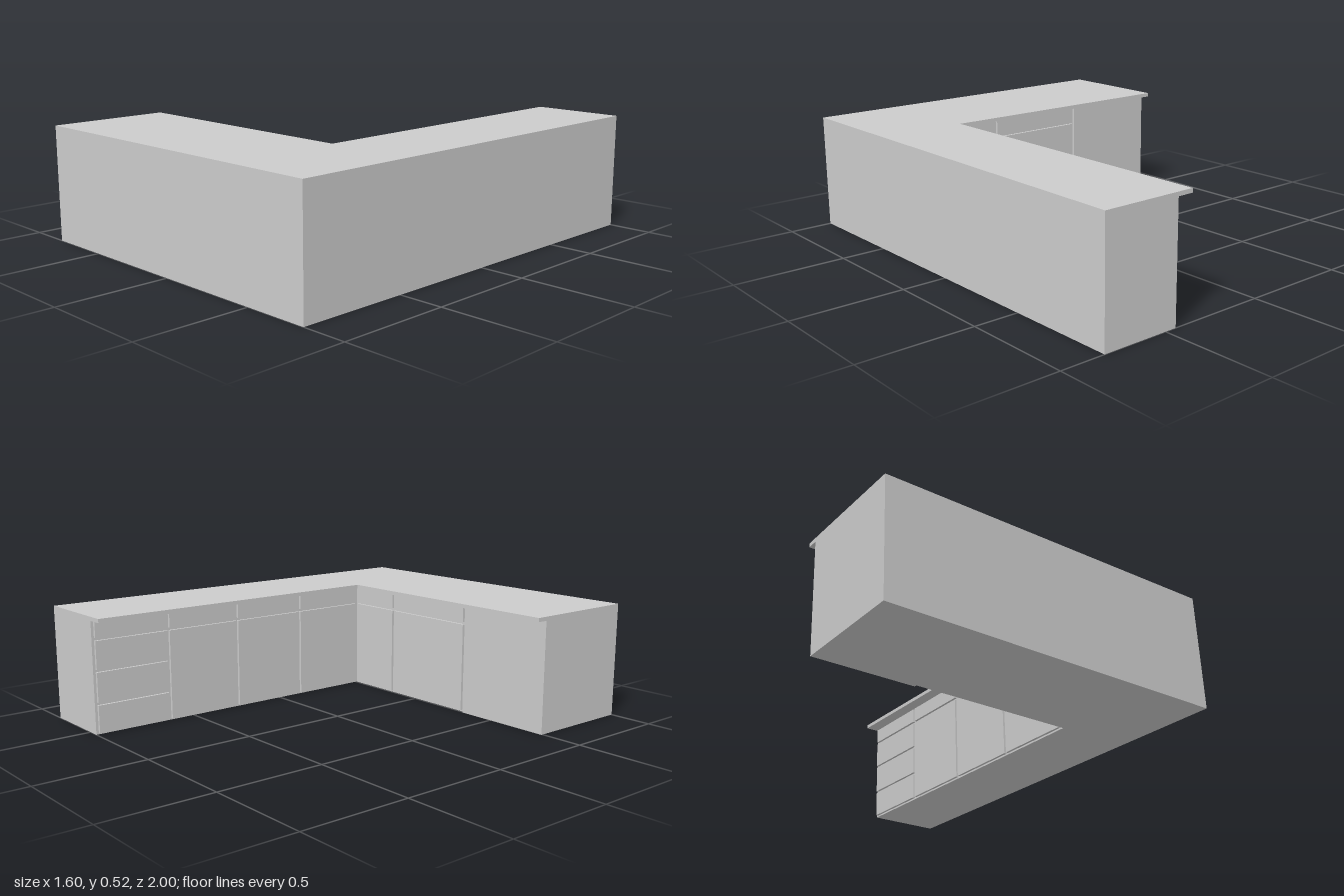
import * as THREE from 'three';

const H = 0.525, TOP = 0.018;          // overall height, worktop thickness
const FX = 0.435, FZ = 0.493;          // planes of the cabinet fronts
const T = 0.012, GAP = 0.012;          // front panel thickness, gap between panels
const RAIL = 0.425;                    // height of the gap under the top drawers

export function createModel() {
  const group = new THREE.Group();
  const material = new THREE.MeshStandardMaterial({ color: 0xcccccc, flatShading: true });

  const add = (name, geometry) => {
    const mesh = new THREE.Mesh(geometry, material);
    mesh.name = name;
    group.add(mesh);
    return mesh;
  };

  // Upright slab from a plan outline given as [x, z] pairs
  const slab = (name, outline, y, height) => {
    const shape = new THREE.Shape(outline.map(([x, z]) => new THREE.Vector2(x, -z)));
    const geometry = new THREE.ExtrudeGeometry(shape, { depth: height, bevelEnabled: false });
    geometry.rotateX(-Math.PI / 2);
    geometry.translate(0, y, 0);
    return add(name, geometry);
  };

  const bodyTop = H - TOP;
  // L-shaped carcass, set back behind the fronts
  slab('carcass', [
    [-0.8, 1], [0.8, 1], [0.8, -1], [FX + T, -1], [FX + T, FZ + T], [-0.8, FZ + T],
  ], 0, bodyTop);

  // Worktop with a slightly tapering overhang on the inner side
  slab('worktop', [
    [-0.8, 1], [0.8, 1], [0.8, -1], [0.375, -1], [0.39, 0.458], [-0.8, 0.443],
  ], bodyTop, TOP);

  // Front panel on the long run (facing -x) or the short run (facing -z)
  const panel = (name, run, a, b, y0, y1) => {
    const w = b - a, h = y1 - y0, mid = (a + b) / 2, y = (y0 + y1) / 2;
    if (run === 'long') {
      add(name, new THREE.BoxGeometry(T, h, w)).position.set(FX + T / 2, y, mid);
    } else {
      add(name, new THREE.BoxGeometry(w, h, T)).position.set(mid, y, FZ + T / 2);
    }
  };

  // Stack of panels between a and b, split at the given heights
  const stack = (run, a, b, splits) => {
    const levels = [0, ...splits, bodyTop];
    for (let i = 0; i < levels.length - 1; i++) {
      const isDoor = i === 0 && splits.length < 2;
      const y0 = levels[i] + (i ? GAP / 2 : 0.008);
      const y1 = levels[i + 1] - (i < splits.length ? GAP / 2 : 0.004);
      panel(isDoor ? 'door' : 'drawer', run, a, b, y0, y1);
    }
  };

  // Long run: one drawer unit, then three doors with drawers above
  const unit = (FZ + 1) / 4;
  for (let i = 0; i < 4; i++) {
    const a = -1 + i * unit;
    stack('long', a + (i ? GAP / 2 : GAP), a + unit - GAP / 2,
      i === 0 ? [0.138, 0.285, RAIL] : [RAIL]);
  }

  // Short run: two doors with drawers above, and a full-height panel at the end
  stack('short', 0.16 + GAP / 2, FX - GAP / 2, [RAIL]);
  stack('short', -0.32 + GAP / 2, 0.16 - GAP / 2, [RAIL]);
  panel('endPanel', 'short', -0.8, -0.32 - GAP / 2, 0, bodyTop);

  return group;
}
